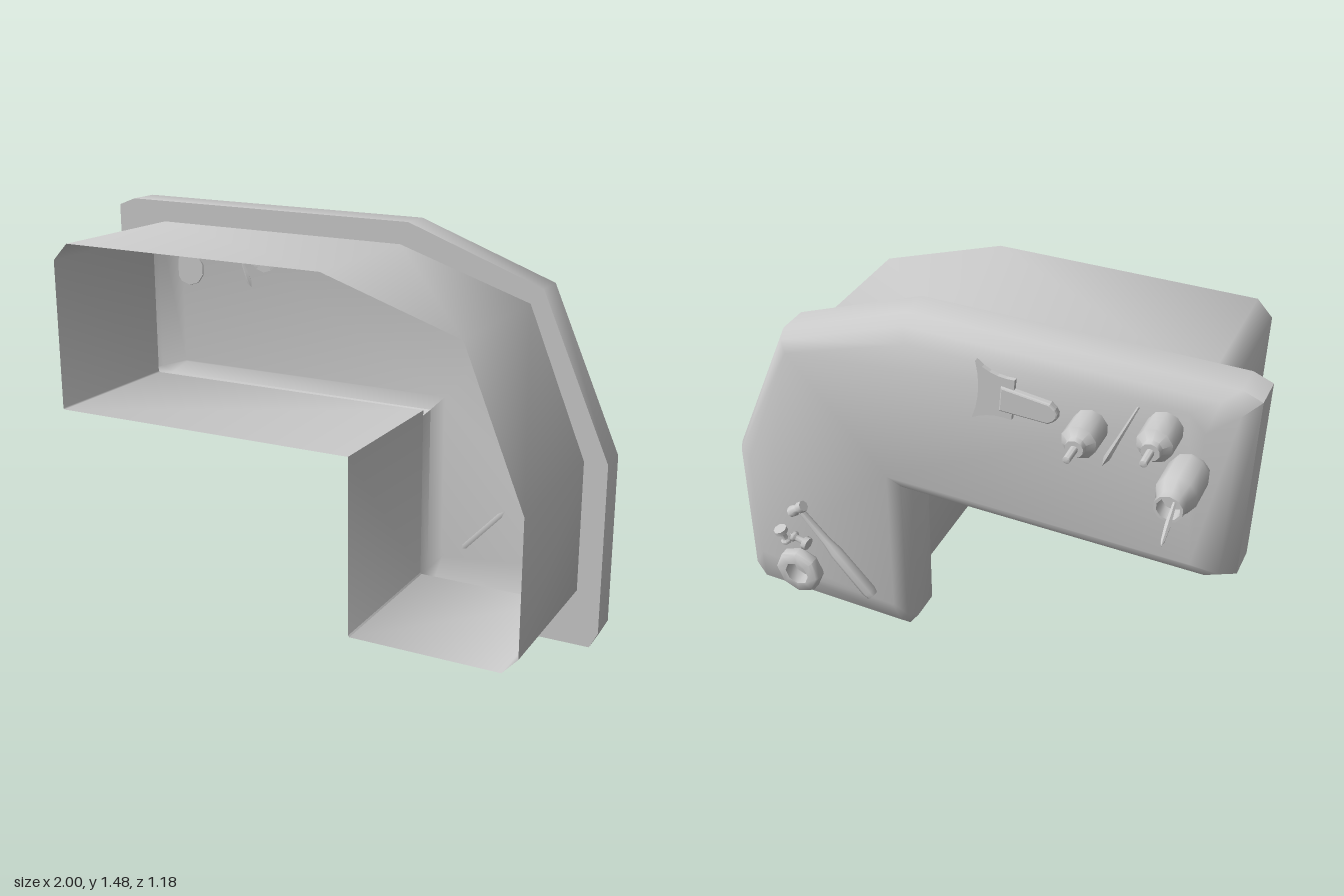
import * as THREE from 'three';
import { toCreasedNormals } from 'three/addons/utils/BufferGeometryUtils.js';

const grey = new THREE.MeshStandardMaterial({ color: 0xcccccc, side: THREE.DoubleSide });
const BACK = -0.195; // plane the small objects rest on

function add(parent, name, geometry, x = 0, y = 0, z = 0) {
  const mesh = new THREE.Mesh(geometry, grey);
  mesh.name = name;
  mesh.position.set(x, y, z);
  parent.add(mesh);
  return mesh;
}

// Lathe from [radius, height] pairs, with its axis turned towards -z
function standing(profile, sides) {
  const pts = profile.map(([r, h]) => new THREE.Vector2(r, h));
  return toCreasedNormals(new THREE.LatheGeometry(pts, sides).rotateX(-Math.PI / 2), 0.9);
}

// Lathe whose axis runs from a to b; profile is [radius, fraction of length]
function between(parent, name, a, b, profile, sides = 8) {
  const from = new THREE.Vector3(...a), dir = new THREE.Vector3(...b).sub(from);
  const pts = profile.map(([r, t]) => new THREE.Vector2(r, t * dir.length()));
  const mesh = add(parent, name, toCreasedNormals(new THREE.LatheGeometry(pts, sides), 0.9), ...a);
  mesh.quaternion.setFromUnitVectors(new THREE.Vector3(0, 1, 0), dir.normalize());
  return mesh;
}

// Outer outline of the slab and the matching outline of the skirt
const outer = [[-1, 0.75], [-0.93, 0.72], [0.24, 0.715], [0.24, 0.06], [0.28, 0], [0.97, 0],
  [1, 0.06], [1, 0.69], [0.745, 1.275], [0.24, 1.465], [-0.93, 1.477], [-1, 1.45]];
const inner = [[-0.85, 0.795], [-0.845, 0.79], [0.31, 0.79], [0.31, 0.155], [0.315, 0.15], [0.86, 0.15],
  [0.915, 0.21], [0.915, 0.69], [0.7, 1.22], [0.21, 1.385], [-0.79, 1.397], [-0.85, 1.335]];

// One skin: open skirt, flare to the slab, rounded rim, flat back
function shellGeometry() {
  const n = outer.length;
  const rings = [[1, 0.59], [1, 0], [0, 0], [0, -0.12], [0.35, -0.168], [1, BACK]]; // [inset, z]
  const pos = [], index = [];
  for (const [t, z] of rings)
    outer.forEach(([x, y], i) => pos.push(x + (inner[i][0] - x) * t, y + (inner[i][1] - y) * t, z));
  for (let r = 0; r < rings.length - 1; r++)
    for (let i = 0; i < n; i++) {
      const a = r * n + i, b = r * n + (i + 1) % n;
      index.push(a, a + n, b + n, a, b + n, b);
    }
  const last = (rings.length - 1) * n;
  const cap = THREE.ShapeUtils.triangulateShape(inner.map(p => new THREE.Vector2(...p)), []);
  for (const [a, b, c] of cap) index.push(last + c, last + b, last + a);
  const g = new THREE.BufferGeometry();
  g.setAttribute('position', new THREE.Float32BufferAttribute(pos, 3));
  g.setIndex(index);
  return toCreasedNormals(g, 1.0);
}

export function createModel() {
  const model = new THREE.Group();
  add(model, 'counterShell', shellGeometry());

  // Wide jar with a brush standing in it
  add(model, 'jar', standing([[0, 0], [0.066, 0], [0.071, 0.02], [0.071, 0.145], [0.05, 0.19],
    [0.05, 0.222], [0.04, 0.222], [0.038, 0.17], [0, 0.17]], 10), -0.815, 1.18, BACK + 0.005);
  between(model, 'jarBrush', [-0.825, 1.2, -0.36], [-0.853, 1.182, -0.59],
    [[0, 0], [0.006, 0], [0.008, 0.25], [0.011, 0.6], [0.007, 0.9], [0, 1]], 6);

  // Two nozzle bottles
  for (const [x, y] of [[-0.72, 1.32], [-0.47, 1.255]])
    add(model, 'nozzleBottle', standing([[0, 0], [0.062, 0], [0.062, 0.105], [0.035, 0.125], [0.032, 0.145],
      [0.014, 0.145], [0.013, 0.21], [0, 0.215]], 10), x, y, BACK);

  // Thin brush lying between the bottles
  between(model, 'thinBrush', [-0.63, 1.38, BACK - 0.006], [-0.52, 1.11, BACK - 0.006],
    [[0, 0], [0.005, 0.03], [0.009, 0.55], [0.011, 0.7], [0.013, 0.85], [0, 1]], 6);

  // Flat brush: flared bristles and a thicker grip
  const flat = new THREE.Group();
  flat.name = 'flatBrush';
  flat.position.set(-0.2, 1.28, BACK);
  flat.rotation.z = 0.06;
  model.add(flat);
  const head = new THREE.Shape();
  head.moveTo(0, -0.075);
  head.quadraticCurveTo(0.08, -0.07, 0.145, -0.115);
  head.quadraticCurveTo(0.11, 0, 0.145, 0.115);
  head.quadraticCurveTo(0.08, 0.07, 0, 0.085);
  head.closePath();
  add(flat, 'bristles', new THREE.ExtrudeGeometry(head,
    { depth: 0.018, bevelEnabled: false, curveSegments: 5 }), 0, 0, -0.016);
  const grip = new THREE.Shape();
  grip.moveTo(0.04, -0.042);
  grip.lineTo(0.04, 0.042);
  grip.lineTo(-0.13, 0.034);
  grip.quadraticCurveTo(-0.185, 0, -0.13, -0.034);
  grip.closePath();
  add(flat, 'grip', new THREE.ExtrudeGeometry(grip, { depth: 0.014, bevelThickness: 0.008,
    bevelSize: 0.006, bevelSegments: 2, curveSegments: 5 }), 0, 0, -0.018);

  // Roll with a hole, lying flat
  add(model, 'roll', standing([[0.052, 0], [0.088, 0], [0.098, 0.012], [0.098, 0.05], [0.088, 0.06],
    [0.052, 0.06], [0.052, 0]], 8), 0.717, 0.21, BACK);

  // Tapered tool with a short crosswise head
  between(model, 'toolHandle', [0.39, 0.19, BACK - 0.024], [0.7, 0.525, BACK - 0.02],
    [[0, 0], [0.022, 0], [0.028, 0.05], [0.026, 0.5], [0.018, 0.62], [0.014, 0.9], [0.014, 1]]);
  between(model, 'toolHead', [0.675, 0.545, BACK - 0.022], [0.735, 0.495, BACK - 0.022],
    [[0, 0], [0.022, 0], [0.024, 0.25], [0.017, 0.5], [0.024, 0.75], [0.022, 1], [0, 1]]);

  // Two small pins with flanged heads
  const pin = [[0, 0], [0.027, 0], [0.028, 0.2], [0.013, 0.3], [0.013, 0.62], [0.022, 0.7], [0.022, 0.82],
    [0.006, 0.84], [0, 1]];
  between(model, 'pin', [0.79, 0.4, BACK - 0.035], [0.77, 0.315, BACK - 0.018], pin);
  between(model, 'pin', [0.665, 0.36, BACK - 0.03], [0.755, 0.375, BACK - 0.02], pin);
  return model;
}
